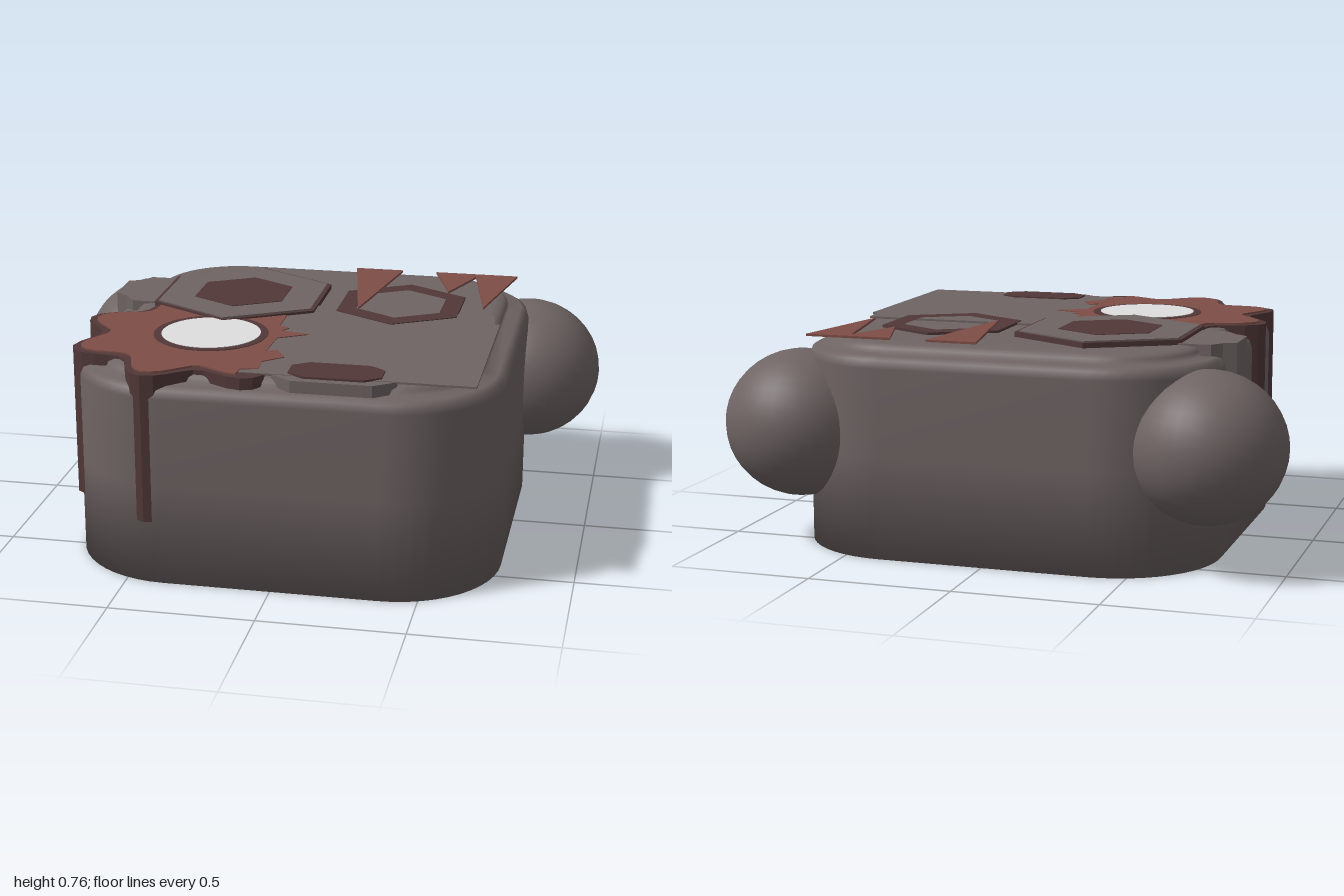
import * as THREE from 'three';

const mat = (name, color) => Object.assign(new THREE.MeshStandardMaterial({ color }), { name });

export function createModel() {
  const group = new THREE.Group();
  const grey = mat('warm grey', 0x6e6463);
  const red = mat('rust red', 0x7e4e47);
  const dark = mat('dark brown', 0x513838);
  const pale = mat('pale grey', 0xdedede);

  const add = (name, geometry, material) => {
    const mesh = new THREE.Mesh(geometry, material);
    mesh.name = name;
    group.add(mesh);
    return mesh;
  };

  // Upright prism over an outline of [x, z] points, with an optional hole
  const prism = (name, points, y0, y1, material, hole) => {
    const flip = (list) => list.map(([x, z]) => new THREE.Vector2(x, -z));
    const shape = new THREE.Shape(flip(points));
    if (hole) shape.holes.push(new THREE.Path(flip(hole)));
    const geo = new THREE.ExtrudeGeometry(shape, { depth: y1 - y0, bevelEnabled: false });
    geo.rotateX(-Math.PI / 2).translate(0, y0, 0);
    return add(name, geo, material);
  };
  const ring = (cx, cz, r, n, start = Math.PI / 2) => Array.from({ length: n }, (_, i) => {
    const t = start + (i / n) * Math.PI * 2;
    return [cx + r * Math.cos(t), cz + r * Math.sin(t)];
  });

  // Body: stacked rounded squares with a soft shoulder and a raised lid
  const steps = [[0, 0], [0, 0.35], [0, 0.66], [0.009, 0.688], [0.03, 0.7], [0.075, 0.702],
    [0.08, 0.718], [0.095, 0.731], [0.125, 0.735], [0.2, 0.735]];
  const seg = 12, count = 4 * (seg + 1);
  const pos = [], index = [];
  for (const [inset, y] of steps) {
    for (let c = 0; c < 4; c++) {
      for (let i = 0; i <= seg; i++) {
        const t = (c + i / seg) * Math.PI / 2;
        const sx = c === 0 || c === 3 ? 1 : -1, sz = c < 2 ? 1 : -1;
        const r = 0.37 - inset;
        pos.push(sx * 0.37 + r * Math.cos(t), y, 0.035 + sz * 0.37 + r * Math.sin(t));
      }
    }
  }
  const last = (steps.length - 1) * count, bottom = last + count, top = bottom + 1;
  pos.push(0, 0, 0.035, 0, 0.735, 0.035);
  for (let i = 0; i < count; i++) {
    const j = (i + 1) % count;
    for (let k = 0; k < last; k += count) {
      index.push(k + i, k + count + i, k + j, k + j, k + count + i, k + count + j);
    }
    index.push(i, j, bottom, last + i, top, last + j);
  }
  const bodyGeo = new THREE.BufferGeometry();
  bodyGeo.setAttribute('position', new THREE.Float32BufferAttribute(pos, 3));
  bodyGeo.setIndex(index);
  bodyGeo.computeVertexNormals();
  add('body', bodyGeo, grey);

  // Round ears at the back corners
  for (const side of [1, -1]) {
    const ear = add(side > 0 ? 'leftEar' : 'rightEar', new THREE.SphereGeometry(0.27, 32, 20), grey);
    ear.position.set(side * 0.73, 0.423, -0.51);
    ear.scale.y = 0.96;
  }

  // Deep cog: dark wavy block whose teeth stick out of the body
  const cx = -0.305, cz = 0.305;
  const wave = (deg, trim) => {
    const t = deg * Math.PI / 180;
    const r = 0.436 - trim + 0.054 * Math.cos(8 * (t - 74 * Math.PI / 180));
    return [cx - r * Math.cos(t), cz + r * Math.sin(t)];
  };
  const cog = [], face = [];
  for (let d = 0; d < 360; d += 5) cog.push(wave(d, 0));
  prism('cogBlock', cog, 0.22, 0.741, dark);

  // Rust face of the cog with a torn right edge
  for (let d = -70; d <= 116; d += 4) face.push(wave(d, 0.03));
  face.push([-0.12, 0.66], [-0.06, 0.645], [-0.065, 0.57], [0, 0.51], [-0.04, 0.44], [-0.075, 0.46],
    [-0.07, 0.31], [0.03, 0.25], [-0.07, 0.225], [-0.05, 0.19], [-0.09, 0.17], [-0.09, 0.05], [-0.2, 0]);
  prism('cogFace', face, 0.739, 0.747, red);
  prism('cogCollar', ring(cx, cz, 0.2, 40), 0.742, 0.749, dark);
  prism('cogDisc', ring(cx, cz, 0.173, 40), 0.743, 0.751, pale);

  // Flat square-cornered cover plate
  prism('coverPlate', [[-0.12, -0.1], [0.64, -0.1], [0.65, 0], [0.67, 0], [0.67, 0.685], [-0.12, 0.685]],
    0.737, 0.744, grey);

  // Grey lug on the right side
  prism('sideLug', [[-0.5, -0.36], [-0.7, -0.355], [-0.73, -0.31], [-0.775, -0.29], [-0.775, -0.13],
    [-0.73, -0.1], [-0.69, -0.045], [-0.5, -0.04]], 0.22, 0.741, grey);

  // Large hexagon with dark edge and centre
  prism('hexEdge', ring(-0.3, -0.18, 0.342, 6), 0.735, 0.753, dark);
  prism('hexPlate', ring(-0.3, -0.18, 0.326, 6), 0.75, 0.757, grey);
  prism('hexCentre', ring(-0.3, -0.178, 0.188, 6), 0.752, 0.759, dark);

  // Hexagonal ring
  prism('hexRing', ring(0.29, -0.175, 0.252, 6), 0.738, 0.747, dark, ring(0.29, -0.175, 0.175, 6));

  // Rust spikes along the back edge
  const spikes = [
    [[0.05, -0.6], [0.23, -0.6], [0.145, -0.08]],
    [[0.36, -0.6], [0.53, -0.6], [0.44, -0.35]],
    [[0.51, -0.6], [0.67, -0.6], [0.59, -0.17]],
  ];
  spikes.forEach((points) => prism('spike', points, 0.743, 0.751, red));

  // Small stretched octagon at the front on its grey pad
  const octagon = (w, d) => [[-w, -d / 2], [-w * 0.65, -d], [w * 0.65, -d], [w, -d / 2],
    [w, d / 2], [w * 0.65, d], [-w * 0.65, d], [-w, d / 2]].map(([x, z]) => [0.2 + x, 0.63 + z]);
  prism('frontPad', octagon(0.21, 0.105), 0.7, 0.742, grey);
  prism('frontBadge', octagon(0.157, 0.076), 0.742, 0.749, dark);

  return group;
}
